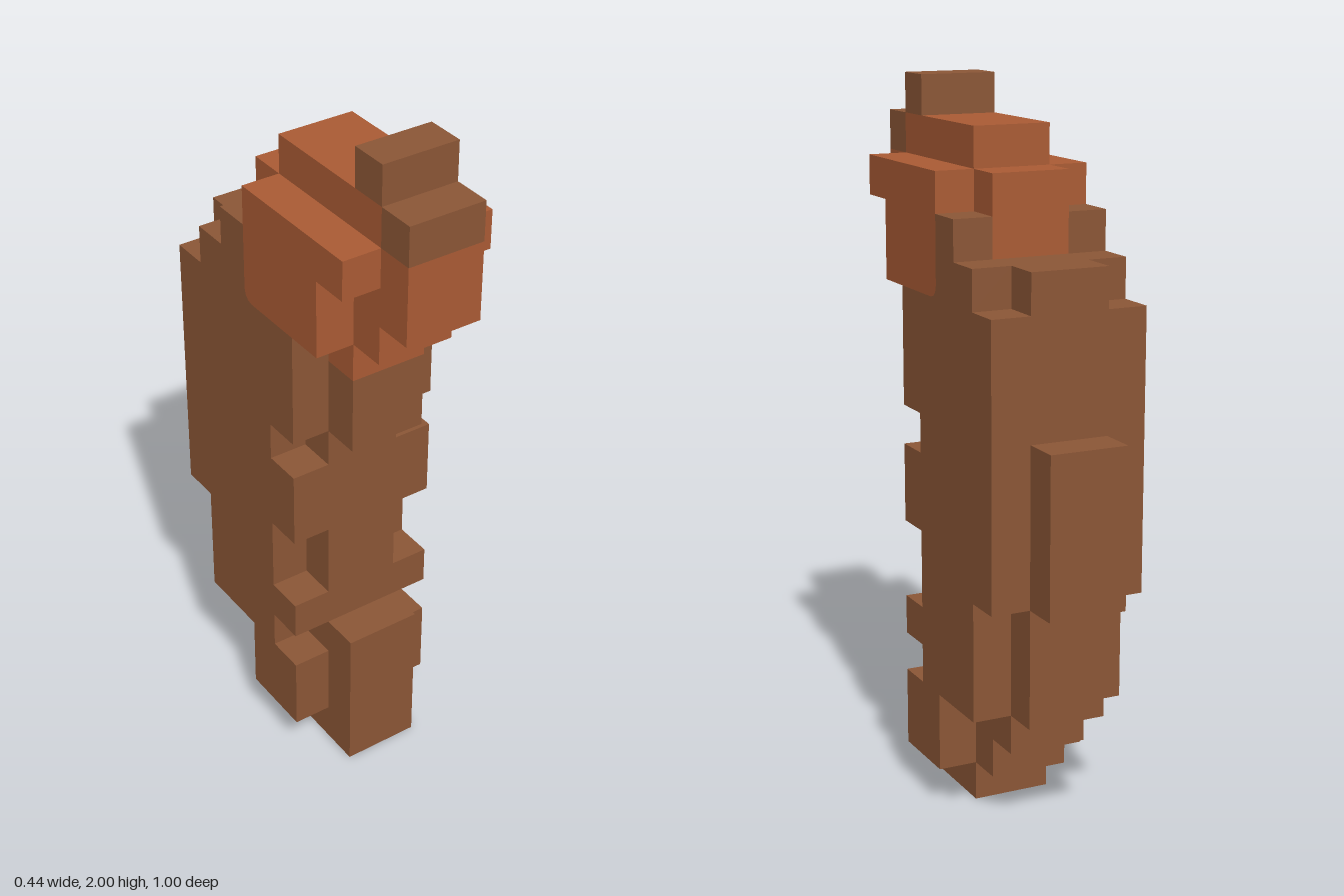
import * as THREE from 'three';

const U = 1 / 9; // edge length of one block

const brown = new THREE.MeshStandardMaterial({ color: 0x8b5636 });
brown.name = 'brown';
const rust = new THREE.MeshStandardMaterial({ color: 0xaa5b34 });
rust.name = 'rust';

// Extrudes a side profile of [z, y] block coordinates from x0 to x1
function slab(name, material, profile, x0, x1) {
  const shape = new THREE.Shape(profile.map(([z, y]) => new THREE.Vector2(-z, y)));
  const geometry = new THREE.ExtrudeGeometry(shape, { depth: x1 - x0, bevelEnabled: false });
  geometry.rotateY(Math.PI / 2).translate(x0, 0, 0).scale(U, U, U);
  const mesh = new THREE.Mesh(geometry, material);
  mesh.name = name;
  return mesh;
}

// Rounded lower back corner shared by the cheek and the flank
const corner = [[-0.2, 13], [-0.35, 13.04], [-0.46, 13.15], [-0.5, 13.3]];

const bodyProfile = [
  [2.5, 0], [2.5, 4], [1.5, 4], [1.5, 10], [2.5, 10], [2.5, 12], [1.5, 12], [1.5, 13],
  [-0.5, 13], [-0.5, 14], [-3.5, 14], [-3.5, 10], [-4.5, 10], [-4.5, 6], [-3.5, 6],
  [-3.5, 3], [-2.5, 3], [-2.5, 2], [-1.5, 2], [-1.5, 1], [-0.5, 1], [-0.5, 0],
];

const headProfile = [
  [2.5, 12], [2.5, 13], [3.5, 13], [3.5, 14], [4.5, 14], [4.5, 16], [3.5, 16], [3.5, 17],
  [-0.5, 17], [-0.5, 16], [-1.5, 16], [-1.5, 14], [-0.5, 14], [-0.5, 13], [1.5, 13], [1.5, 12],
];

const crestProfile = [
  [4.5, 16], [4.5, 17], [3.5, 17], [3.5, 18], [2.5, 18], [2.5, 17], [3.5, 17], [3.5, 16],
];

const flankProfile = [
  [1.5, 1], [1.5, 3], [0.5, 3], [0.5, 4], [1.5, 4], [1.5, 5], [0.5, 5], [0.5, 7],
  [1.5, 7], [1.5, 9], [0.5, 9], [0.5, 10], [1.5, 10], [1.5, 13], ...corner,
  [-0.5, 15], [-1.5, 15], [-1.5, 14], [-2.5, 14], [-2.5, 13], [-3.5, 13],
  [-3.5, 6], [-2.5, 6], [-2.5, 3], [-0.5, 3], [-0.5, 1],
];

const cheekProfile = [
  [2.5, 13], [2.5, 15], [3.5, 15], [3.5, 16], [-0.5, 16], ...[...corner].reverse(),
];

export function createModel() {
  const model = new THREE.Group();
  model.name = 'blockFigure';

  // Central slice: body, head, brow and crest
  model.add(slab('body', brown, bodyProfile, -1, 1));
  model.add(slab('head', rust, headProfile, -1, 1));
  model.add(slab('brow', brown, crestProfile.slice(0, 3).concat([[3.5, 16]]), -1, 1));
  model.add(slab('crest', brown, crestProfile.slice(3, 7), -1, 1));

  // Thinner outer slices on both sides
  for (const [side, x0] of [['left', 1], ['right', -2]]) {
    model.add(slab(side + 'Flank', brown, flankProfile, x0, x0 + 1));
    model.add(slab(side + 'Cheek', rust, cheekProfile, x0, x0 + 1));
  }
  return model;
}
